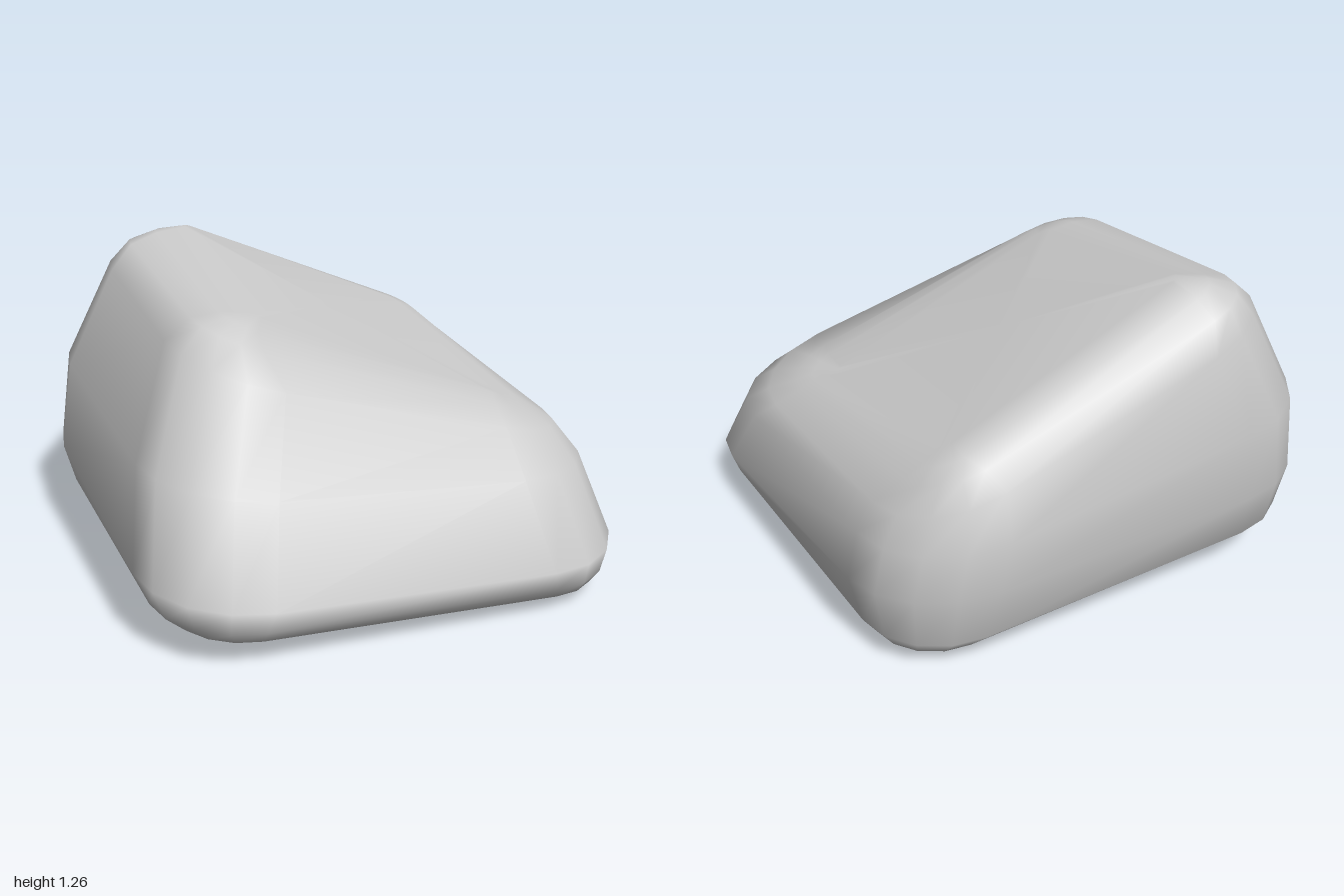
import * as THREE from 'three';

// Rings from underside to top: corner rounding, then the four corners
// back right, back left, front left, front right (x, y, z each)
const RINGS = [
  [0.04, [-0.58, 0.055, -0.58], [0.62, 0.0, -0.58], [0.62, 0.0, 0.68], [-0.58, 0.055, 0.68]],
  [0.14, [-0.72, 0.08, -0.72], [0.76, 0.015, -0.72], [0.76, 0.012, 0.82], [-0.72, 0.07, 0.82]],
  [0.26, [-0.84, 0.13, -0.85], [0.87, 0.06, -0.85], [0.87, 0.045, 0.92], [-0.84, 0.1, 0.92]],
  [0.34, [-0.92, 0.2, -0.92], [0.92, 0.13, -0.92], [0.92, 0.1, 0.975], [-0.92, 0.16, 0.975]],
  [0.41, [-0.97, 0.39, -0.97], [0.96, 0.36, -0.97], [0.965, 0.18, 1.0], [-0.965, 0.25, 1.0]],
  [0.41, [-0.92, 0.74, -1.0], [0.92, 0.52, -0.97], [0.91, 0.48, 0.82], [-0.9, 0.62, 0.86]],
  [0.36, [-0.72, 1.15, -0.93], [0.85, 0.64, -0.93], [0.86, 0.57, 0.66], [-0.72, 0.99, 0.58]],
  [0.22, [-0.62, 1.22, -0.86], [0.76, 0.75, -0.86], [0.76, 0.63, 0.48], [-0.61, 1.08, 0.43]],
  [0.12, [-0.5, 1.25, -0.78], [0.7, 0.8, -0.78], [0.7, 0.67, 0.37], [-0.5, 1.1, 0.34]],
  [0.04, [-0.38, 1.262, -0.68], [0.62, 0.83, -0.68], [0.62, 0.69, 0.26], [-0.38, 1.1, 0.25]],
];
const ARC = 4;

// Four-cornered ring with each corner rounded by an arc between its two edges
function roundedRing([r, ...corners]) {
  const pts = corners.map((c) => new THREE.Vector3(...c));
  const ring = [];
  pts.forEach((c, i) => {
    const toPrev = pts[(i + 3) % 4].clone().sub(c).normalize();
    const toNext = pts[(i + 1) % 4].clone().sub(c).normalize();
    for (let s = 0; s <= ARC; s++) {
      const t = (s / ARC) * Math.PI / 2;
      ring.push(c.clone()
        .addScaledVector(toPrev, r * (1 - Math.sin(t)))
        .addScaledVector(toNext, r * (1 - Math.cos(t))));
    }
  });
  return ring;
}

// Skin joining the rings, closed by a fan at each end
function loft(rings) {
  const n = rings[0].length;
  const last = (rings.length - 1) * n;
  const verts = rings.flat();
  const index = [];
  const centre = (ring) => ring.reduce((a, p) => a.add(p), new THREE.Vector3()).divideScalar(n);
  const bottom = verts.push(centre(rings[0])) - 1;
  const top = verts.push(centre(rings[rings.length - 1])) - 1;
  for (let i = 0; i < n; i++) {
    const j = (i + 1) % n;
    for (let k = 0; k < last; k += n) {
      index.push(k + i, k + n + i, k + j, k + j, k + n + i, k + n + j);
    }
    index.push(bottom, i, j, top, last + j, last + i);
  }
  const geo = new THREE.BufferGeometry().setFromPoints(verts);
  geo.setIndex(index);
  geo.computeVertexNormals();
  return geo;
}

export function createModel() {
  const group = new THREE.Group();
  group.name = 'boulder';
  const rock = new THREE.Mesh(
    loft(RINGS.map(roundedRing)),
    new THREE.MeshStandardMaterial({ color: 0xcccccc }),
  );
  rock.name = 'rock';
  group.add(rock);
  return group;
}
